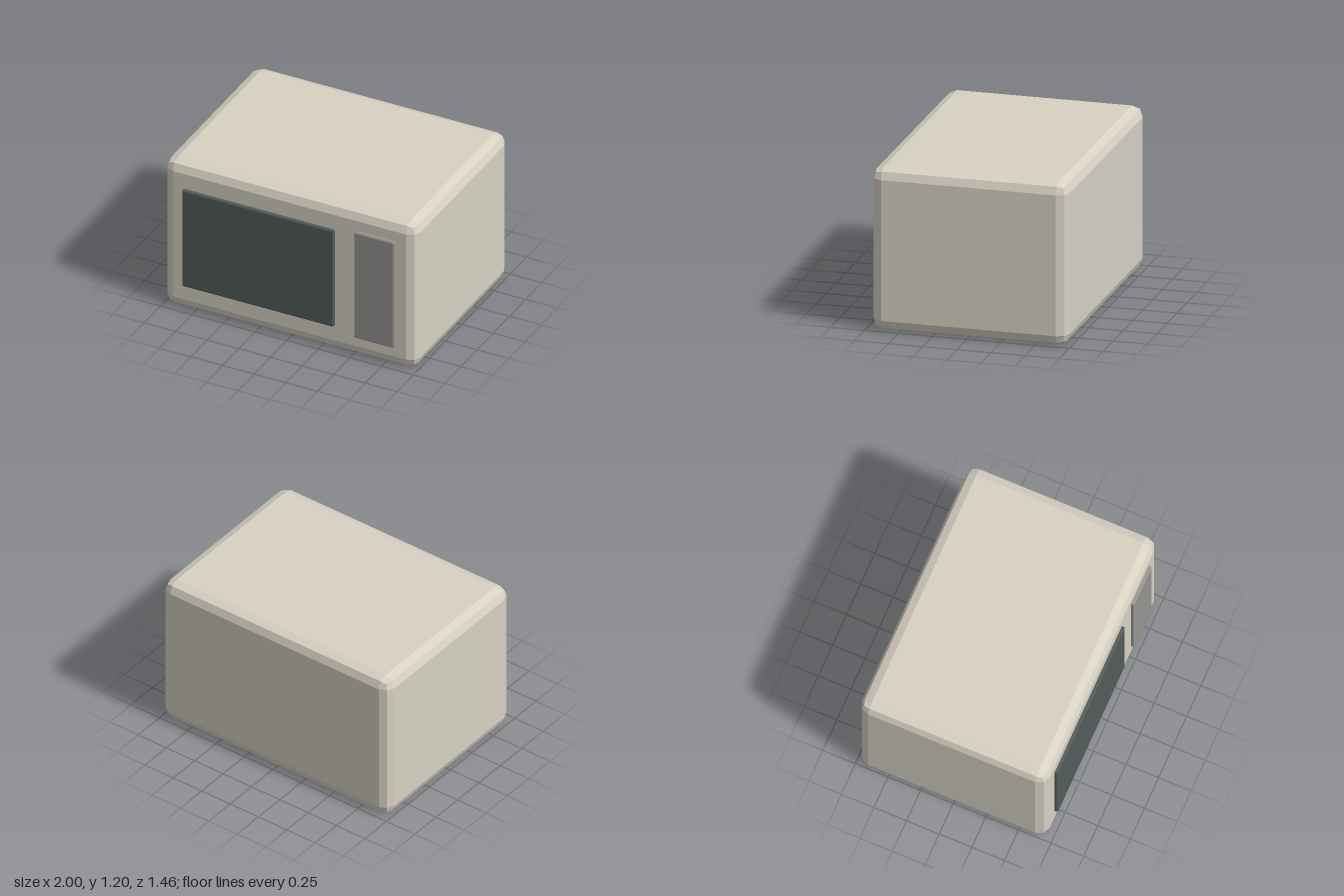
import * as THREE from 'three';
import { RoundedBoxGeometry } from 'three/addons/geometries/RoundedBoxGeometry.js';

export function createModel() {
  const group = new THREE.Group();

  // Box with two flat facets around each edge
  function bevelBox(name, color, size, position, radius) {
    const mesh = new THREE.Mesh(
      new RoundedBoxGeometry(...size, 1, radius),
      new THREE.MeshStandardMaterial({ color, flatShading: true })
    );
    mesh.name = name;
    mesh.position.set(...position);
    group.add(mesh);
  }

  // Oven housing
  bevelBox('body', 0xd8d2c4, [2, 1.2, 1.44], [0, 0.6, -0.012], 0.08);
  // Dark door window
  bevelBox('doorWindow', 0x525c5a, [1.2, 0.8, 0.04], [-0.24, 0.6, 0.712], 0.012);
  // Control strip
  bevelBox('controlPanel', 0x969490, [0.32, 0.88, 0.04], [0.68, 0.6, 0.712], 0.012);

  return group;
}
